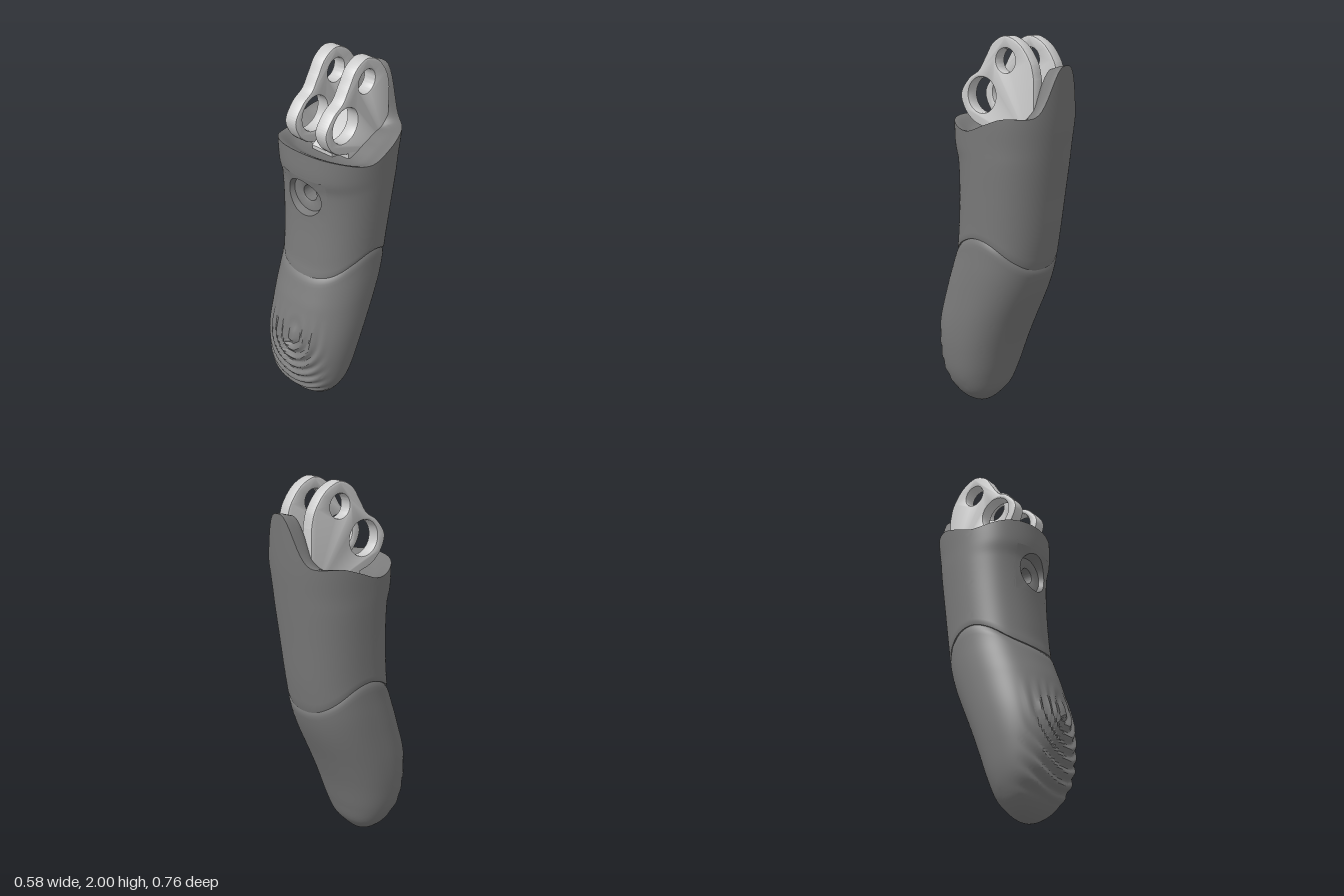
import * as THREE from 'three';
import { toCreasedNormals } from 'three/addons/utils/BufferGeometryUtils.js';

const { lerp, smoothstep, clamp } = THREE.MathUtils;
const shellMat = new THREE.MeshStandardMaterial({ color: 0x7a7a7a });
const hingeMat = new THREE.MeshStandardMaterial({ color: 0xcccccc });

// Smooth lookup through [position, value, value...] keys
function track(keys, column) {
  const slope = (i) => {
    const a = keys[Math.max(i - 1, 0)], b = keys[Math.min(i + 1, keys.length - 1)];
    return (b[column] - a[column]) / (b[0] - a[0]);
  };
  return (t) => {
    t = clamp(t, keys[0][0], keys.at(-1)[0]);
    let i = 0;
    while (i < keys.length - 2 && t > keys[i + 1][0]) i++;
    const h = keys[i + 1][0] - keys[i][0], s = (t - keys[i][0]) / h, r = 1 - s;
    return (1 + 2 * s) * r * r * keys[i][column] + s * r * r * h * slope(i)
      + s * s * (3 - 2 * s) * keys[i + 1][column] - s * s * r * h * slope(i + 1);
  };
}

// Finger outline by height: y, front z, back z, half width
const outline = [
  [0, 0.15, 0.15, 0], [0.02, 0.21, 0.10, 0.08], [0.05, 0.25, 0.07, 0.125],
  [0.1, 0.295, 0.03, 0.17], [0.2, 0.35, -0.01, 0.217], [0.35, 0.372, -0.063, 0.245],
  [0.5, 0.363, -0.125, 0.257], [0.7, 0.31, -0.213, 0.26], [0.8, 0.275, -0.245, 0.26],
  [0.9, 0.242, -0.264, 0.258], [1.0, 0.23, -0.28, 0.258], [1.2, 0.216, -0.305, 0.268],
  [1.38, 0.218, -0.328, 0.279], [1.46, 0.238, -0.338, 0.283], [1.6, 0.24, -0.355, 0.29],
  [1.87, 0.24, -0.378, 0.29],
].map(([y, ...rest]) => [Math.sqrt(y), ...rest]);
const [frontZ, backZ, halfW] = [1, 2, 3].map((c) => track(outline, c));
const seam = track([[-0.28, 0.78], [-0.2, 0.875], [-0.1, 0.96], [0, 0.985], [0.1, 0.955], [0.2, 0.89], [0.28, 0.85]], 1);
const floorY = track([[-0.38, 1.6], [-0.2, 1.61], [-0.1, 1.58], [0.03, 1.54], [0.2, 1.585], [0.25, 1.6]], 1);
// Rim height, with the raised tab at the back
const rim = (x, z) => floorY(z) + 0.26 * Math.exp(-Math.pow(Math.abs(x) / 0.115, 3)) * smoothstep(-z, 0.2, 0.3);

const POWER = 2.3;
const bulge = (v) => Math.sign(v) * Math.pow(Math.abs(v), 2 / POWER);
function skin(angle, y, k = 1) {
  const s = Math.sqrt(Math.max(y, 0)), f = frontZ(s), b = backZ(s);
  return new THREE.Vector3(k * halfW(s) * bulge(Math.sin(angle)), y,
    (f + b) / 2 + k * (f - b) / 2 * bulge(Math.cos(angle)));
}
// Height at which the skin meets a cutting surface
function meet(angle, cut, y) {
  for (let i = 0; i < 12; i++) {
    const p = skin(angle, y);
    y = lerp(y, cut(p.x, p.z), 0.8);
  }
  return y;
}

// Closed loops stacked from bottom to top, or from rim to centre
function loops(cols, rows, point, skip) {
  const pos = [], index = [];
  for (let j = 0; j < rows; j++)
    for (let i = 0; i < cols; i++) pos.push(...point((i / cols) * Math.PI * 2, j).toArray());
  const inside = (n) => skip && skip(pos[3 * n], pos[3 * n + 1], pos[3 * n + 2]);
  for (let j = 0; j < rows - 1; j++)
    for (let i = 0; i < cols; i++) {
      const a = j * cols + i, b = j * cols + (i + 1) % cols, c = b + cols, d = a + cols;
      if (![a, b, c, d].every(inside)) index.push(a, b, c, a, c, d);
    }
  const g = new THREE.BufferGeometry();
  g.setAttribute('position', new THREE.Float32BufferAttribute(pos, 3));
  g.setIndex(index);
  return toCreasedNormals(g, 0.7);
}

// Curved ridges on the pad of the fingertip
function ridge(p) {
  if (p.z < 0.12) return 0;
  const d = Math.hypot((p.x - 0.03) * 1.15, p.y < 0.52 ? p.y - 0.52 : (p.y - 0.52) * 0.45);
  const mask = (1 - smoothstep(Math.abs(p.x), 0.13, 0.23)) * smoothstep(p.y, 0.07, 0.14)
    * (1 - smoothstep(p.y, 0.5, 0.7));
  return 0.009 * mask * Math.sin(d * Math.PI * 2 / 0.058);
}

// Side plate from a z-y outline, centred on x
function plate(shape, width, x, bevel) {
  const g = new THREE.ExtrudeGeometry(shape, {
    depth: width - 2 * bevel, bevelEnabled: bevel > 0, bevelSize: bevel, bevelThickness: bevel,
    bevelOffset: -bevel, bevelSegments: 2, curveSegments: 24,
  });
  g.translate(0, 0, bevel - width / 2).rotateY(-Math.PI / 2).translate(x, 0, 0);
  return toCreasedNormals(g, 0.6);
}

export function createModel() {
  const group = new THREE.Group();
  const add = (name, geometry, material) => {
    const mesh = new THREE.Mesh(geometry, material);
    mesh.name = name;
    group.add(mesh);
  };

  // Fingertip, closed under the seam
  const tipRows = 90;
  add('fingertip', loops(112, tipRows + 3, (a, j) => {
    const top = meet(a, (x, z) => seam(z) - 0.006, 0.9);
    if (j > tipRows) return skin(a, top + 0.012, j === tipRows + 1 ? 0.96 : 0);
    const p = skin(a, top * (j / tipRows) ** 2, j === tipRows ? 0.985 : 1);
    p.z += ridge(p);
    return p;
  }), shellMat);

  // Sleeve wall, left open where the screw recess sits
  const hole = { y: 1.33, half: 0.14 }, sleeveRows = 36;
  add('sleeve', loops(112, sleeveRows + 2, (a, j) => {
    const bottom = meet(a, (x, z) => seam(z) + 0.006, 0.9);
    if (j === 0) return skin(a, bottom, 0.94);
    const t = (j - 1) / sleeveRows;
    return skin(a, lerp(bottom, meet(a, rim, 1.6), t), j === 1 ? 0.985 : 1);
  }, (x, y, z) => z > 0 && Math.abs(x) < hole.half && Math.abs(y - hole.y) < hole.half), shellMat);

  // Dished top of the sleeve
  const topRows = 28;
  add('sleeveTop', loops(112, topRows + 1, (a, j) => {
    const k = 1 - j / topRows, p = skin(a, meet(a, rim, 1.6));
    p.x *= k;
    p.z = lerp(-0.06, p.z, k);
    p.y = rim(p.x, p.z) - 0.025 * smoothstep(1 - k, 0, 0.3);
    return p;
  }), shellMat);

  // Screw recess: square skin patch narrowing to a countersunk hole
  const steps = [[0, 0], [0.105, 0], [0.096, 0.04], [0.05, 0.045], [0.043, 0.05], [0.043, 0.15], [0, 0.15]];
  add('screwRecess', loops(48, steps.length, (a, j) => {
    const [r0, depth] = steps[j], c = Math.cos(a), s = Math.sin(a);
    const r = j ? r0 : hole.half / Math.max(Math.abs(c), Math.abs(s));
    const x = r * c, y = hole.y + r * s, q = Math.sqrt(y), f = frontZ(q), b = backZ(q);
    const z = (f + b) / 2 + (f - b) / 2 * Math.pow(1 - Math.pow(Math.abs(x) / halfW(q), POWER), 1 / POWER);
    return new THREE.Vector3(x, y, j < 2 ? z : 0.215 - depth);
  }), shellMat);

  // Pair of hinge lugs with two pin holes each
  const lug = new THREE.Shape();
  lug.moveTo(-0.28, 1.45);
  lug.lineTo(0.03, 1.45);
  lug.lineTo(0.03, 1.54);
  lug.splineThru([[0.11, 1.57], [0.17, 1.63], [0.193, 1.71], [0.14, 1.787], [0.074, 1.83], [0.03, 1.895],
    [-0.02, 1.967], [-0.1, 2.0], [-0.19, 1.96], [-0.255, 1.875], [-0.278, 1.79]].map((p) => new THREE.Vector2(...p)));
  lug.closePath();
  for (const [z, y, r] of [[0.053, 1.705, 0.09], [-0.1, 1.88, 0.06]])
    lug.holes.push(new THREE.Path().absarc(z, y, r, 0, Math.PI * 2, true));
  for (const [name, side] of [['leftLug', 1], ['rightLug', -1]])
    add(name, plate(lug, 0.072, side * 0.096, 0.01), hingeMat);

  // Sloping web between the lugs
  const web = new THREE.Shape([[-0.28, 1.45], [0.075, 1.45], [0.075, 1.54], [0.0, 1.605], [-0.085, 1.655],
    [-0.2, 1.68], [-0.28, 1.74]].map((p) => new THREE.Vector2(...p)));
  add('hingeWeb', plate(web, 0.13, 0, 0), hingeMat);

  return group;
}
